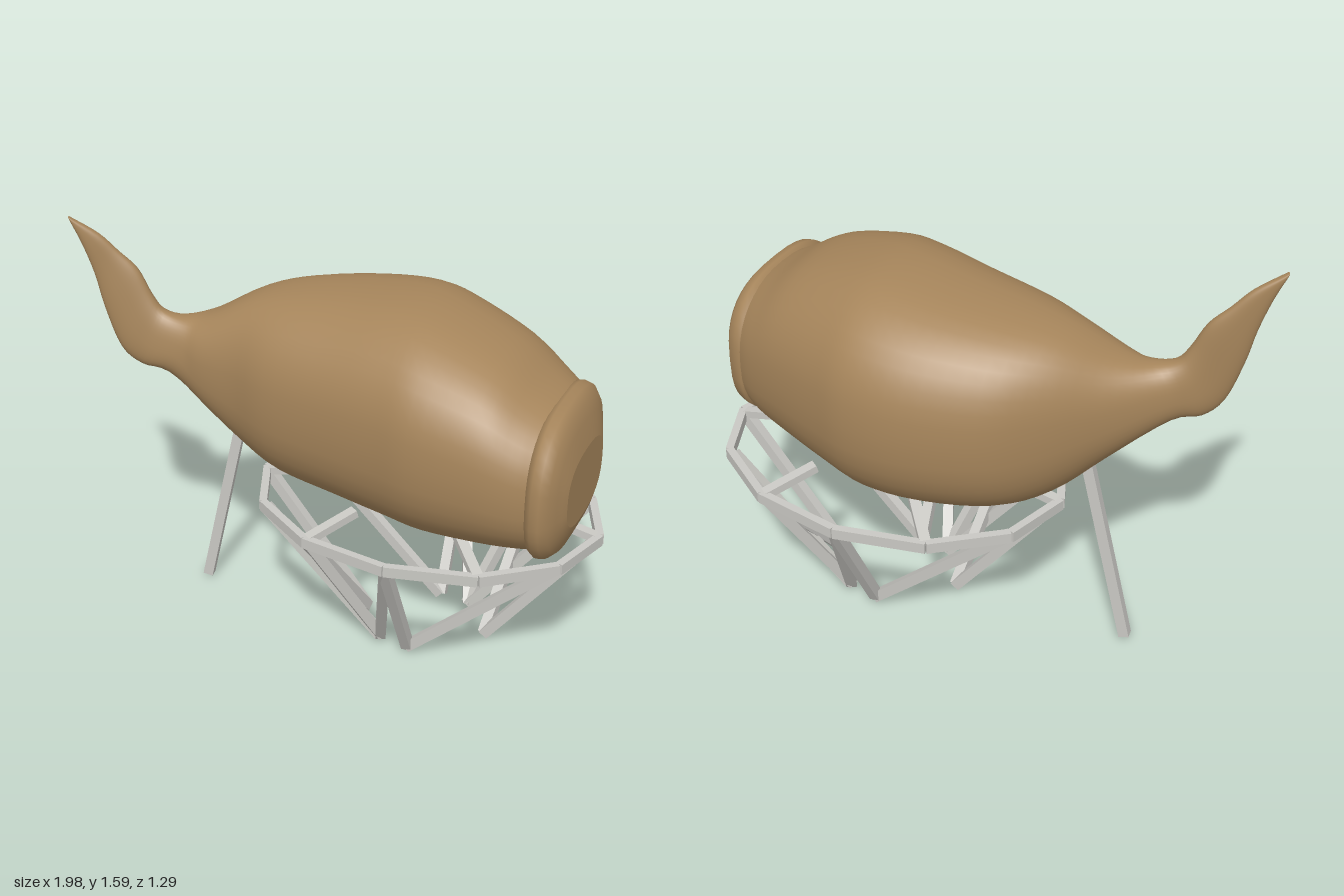
import * as THREE from 'three';

const brown = new THREE.MeshStandardMaterial({ color: 0xa6855b });
brown.name = 'brown hide';
const grey = new THREE.MeshStandardMaterial({ color: 0xc9c8c3 });
grey.name = 'grey timber';

const V = (x, y, z) => new THREE.Vector3(x, y, z);
const U = V(0.888, 0, 0.46);   // body axis, towards the mouth
const S = V(-0.46, 0, 0.888);  // sideways across the body

// Section across the body axis: along, sideways centre, half width, bottom, top
function bodySection([s, t, w, y0, y1]) {
  return {
    c: U.clone().multiplyScalar(s).addScaledVector(S, t).setY((y0 + y1) / 2),
    w: S.clone().multiplyScalar(w),
    h: V(0, (y1 - y0) / 2, 0),
  };
}

// Section across the tail: upper edge, lower edge, z, half thickness
function tailSection([ux, uy, lx, ly, z, w]) {
  return {
    c: V((ux + lx) / 2, (uy + ly) / 2, z),
    w: V(0, 0, w),
    h: V((ux - lx) / 2, (uy - ly) / 2, 0),
  };
}

// Resample sections along smooth curves
function smooth(sections, n) {
  const [c, w, h] = ['c', 'w', 'h'].map((k) => new THREE.CatmullRomCurve3(sections.map((q) => q[k]), false, 'catmullrom', 0.5));
  return Array.from({ length: n + 1 }, (_, i) => ({ c: c.getPoint(i / n), w: w.getPoint(i / n), h: h.getPoint(i / n) }));
}

// Skin a row of rounded-square sections
function loft(name, sections, sides = 40, power = 2.4) {
  const pos = [], index = [];
  const round = (v) => Math.sign(v) * Math.abs(v) ** (2 / power);
  for (const { c, w, h } of sections) {
    for (let j = 0; j < sides; j++) {
      const a = (j / sides) * Math.PI * 2;
      const p = c.clone().addScaledVector(w, round(Math.cos(a))).addScaledVector(h, round(Math.sin(a)));
      pos.push(p.x, p.y, p.z);
    }
  }
  for (let i = 0; i < sections.length - 1; i++) {
    for (let j = 0; j < sides; j++) {
      const k = (j + 1) % sides;
      const a = i * sides + j, b = i * sides + k;
      index.push(a, a + sides, b, b, a + sides, b + sides);
    }
  }
  const g = new THREE.BufferGeometry();
  g.setAttribute('position', new THREE.Float32BufferAttribute(pos, 3));
  g.setIndex(index);
  g.computeVertexNormals();
  const mesh = new THREE.Mesh(g, brown);
  mesh.name = name;
  return mesh;
}

// Square bar between two points
function beam(name, a, b, width = 0.04, height = width) {
  const mesh = new THREE.Mesh(new THREE.BoxGeometry(width, height, a.distanceTo(b)), grey);
  mesh.position.copy(a).add(b).multiplyScalar(0.5);
  mesh.lookAt(b);
  mesh.name = name;
  return mesh;
}

export function createModel() {
  const model = new THREE.Group();
  model.name = 'barrelBodyOnStand';

  // Tail flowing into the barrel body
  const tail = [
    [-1, 1.588, -1, 1.588, -0.475, 0.001],
    [-0.985, 1.58, -0.995, 1.572, -0.475, 0.012],
    [-0.89, 1.52, -0.955, 1.48, -0.47, 0.02],
    [-0.82, 1.45, -0.915, 1.36, -0.465, 0.025],
    [-0.75, 1.38, -0.885, 1.23, -0.455, 0.033],
    [-0.70, 1.28, -0.83, 1.07, -0.44, 0.042],
    [-0.655, 1.22, -0.755, 1.0, -0.43, 0.055],
    [-0.57, 1.2, -0.65, 0.975, -0.41, 0.085],
  ].map(tailSection);
  const barrel = [
    [-0.6, -0.15, 0.165, 0.83, 1.225],
    [-0.44, -0.21, 0.26, 0.69, 1.31],
    [-0.27, -0.235, 0.355, 0.615, 1.355],
    [-0.02, -0.245, 0.425, 0.58, 1.39],
    [0.2, -0.22, 0.455, 0.565, 1.41],
    [0.37, -0.17, 0.45, 0.57, 1.39],
    [0.6, -0.12, 0.408, 0.595, 1.32],
    [0.74, -0.095, 0.365, 0.615, 1.235],
    [0.82, -0.08, 0.325, 0.63, 1.19],
  ].map(bodySection);
  model.add(loft('bodyAndTail', smooth([...tail, ...barrel], 64)));

  // Rounded mouth rim and its flat end
  const rim = [
    [0.79, -0.08, 0.3, 0.66, 1.16],
    [0.805, -0.08, 0.342, 0.625, 1.19],
    [0.83, -0.065, 0.348, 0.617, 1.2],
    [0.86, -0.06, 0.342, 0.625, 1.195],
    [0.888, -0.055, 0.31, 0.65, 1.165],
    [0.905, -0.05, 0.265, 0.69, 1.115],
    [0.918, -0.045, 0.235, 0.72, 1.07],
    [0.928, -0.042, 0.205, 0.755, 1.03],
  ].map(bodySection);
  model.add(loft('mouthRim', rim, 40, 2.6));
  const end = [[0.928, -0.042, 0.205, 0.755, 1.03], [0.928, -0.042, 0, 0.892, 0.892]].map(bodySection);
  model.add(loft('mouthEnd', end, 40, 2.6));

  // Twelve-sided oval stand ring
  const stand = new THREE.Group();
  stand.name = 'stand';
  model.add(stand);
  const ringPoint = (k, y, scale = 1) => {
    const a = THREE.MathUtils.degToRad(30 * k - 2.5);
    return V(0.335, y, -0.06)
      .addScaledVector(U, 0.68 * scale * Math.cos(a))
      .addScaledVector(S, 0.505 * scale * Math.sin(a));
  };
  for (let k = 0; k < 12; k++) {
    stand.add(beam('ringBar', ringPoint(k, 0.547), ringPoint(k + 1, 0.547), 0.03, 0.042));
    if (k % 2 === 0) stand.add(beam('bodyStrut', ringPoint(k, 0.55), ringPoint(k, 0.61, 0.6), 0.04, 0.03));
  }

  // Crossing legs: ring corner to foot, repeated half a turn round
  const legs = [
    [3, 0.25, 0.12], [1, 0.25, 0.12],
    [3, 0.15, 0.04], [4, 0.15, 0.04], [5, 0.15, 0.04],
    [4, 0.11, -0.17], [6, 0.11, -0.17],
  ];
  for (const [k, x, z] of legs) {
    stand.add(beam('leg', ringPoint(k, 0.54, 0.98), V(x, 0.01, z)));
    stand.add(beam('leg', ringPoint(k + 6, 0.54, 0.98), V(0.67 - x, 0.01, -0.12 - z)));
  }

  // Lone prop under the tail end
  model.add(beam('tailProp', V(-0.365, 0.79, -0.405), V(-0.53, 0.005, -0.455)));
  return model;
}
